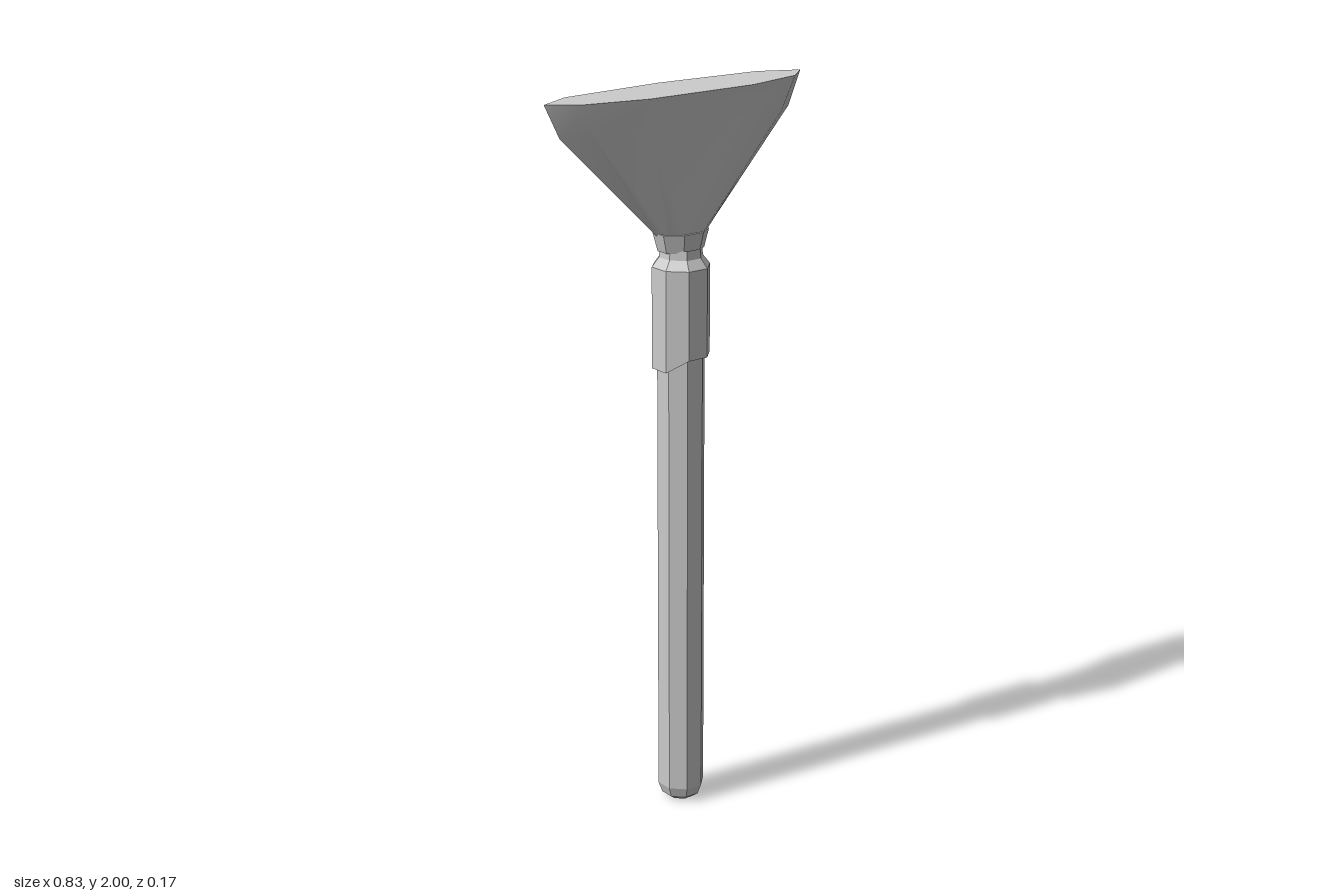
import * as THREE from 'three';
import { toCreasedNormals } from 'three/addons/utils/BufferGeometryUtils.js';

const SIDES = 8;
const faceted = new THREE.MeshStandardMaterial({ color: 0xcccccc, flatShading: true });
const smooth = new THREE.MeshStandardMaterial({ color: 0xcccccc });

// Octagonal turned part with a flat facing front; profile = [half width, y] upwards
function turned(name, profile) {
  const k = 1 / Math.cos(Math.PI / SIDES);
  const points = profile.map(([r, y]) => new THREE.Vector2(r * k, y));
  const mesh = new THREE.Mesh(new THREE.LatheGeometry(points, SIDES, Math.PI / SIDES), faceted);
  mesh.name = name;
  return mesh;
}

// Outline of the fan's flat top: [x, z]
const OUTLINE = [
  [-0.415, -0.013], [-0.335, 0.046], [-0.16, 0.083], [0.17, 0.083], [0.345, 0.043],
  [0.413, -0.016], [0.305, -0.068], [-0.005, -0.088], [-0.315, -0.066],
];

// Flared head lofted through scaled copies of the outline, closed at both ends
function fanGeometry() {
  const rings = [
    { y: 1.62, sx: 0.175, sz: 0.58 },
    { y: 1.91, sx: 0.895, sz: 0.76 },
    { y: 2.0, sx: 1, sz: 1 },
  ];
  const n = OUTLINE.length;
  const positions = [];
  const index = [];
  for (const { y, sx, sz } of rings) {
    for (const [x, z] of OUTLINE) positions.push(x * sx, y, z * sz);
  }
  for (let r = 0; r < rings.length - 1; r++) {
    for (let i = 0; i < n; i++) {
      const a = r * n + i;
      const b = r * n + ((i + 1) % n);
      index.push(a, b, b + n, a, b + n, a + n);
    }
  }
  const top = (rings.length - 1) * n;
  for (let i = 1; i < n - 1; i++) {
    index.push(top, top + i, top + i + 1);
    index.push(0, i + 1, i);
  }
  const geometry = new THREE.BufferGeometry();
  geometry.setAttribute('position', new THREE.Float32BufferAttribute(positions, 3));
  geometry.setIndex(index);
  return toCreasedNormals(geometry, 0.8);
}

export function createModel() {
  const model = new THREE.Group();
  model.name = 'fanBrush';

  // Long handle with a rounded foot
  model.add(turned('handle', [
    [0, 0], [0.035, 0.003], [0.05, 0.015], [0.06, 0.045], [0.06, 1.32],
  ]));

  // Sleeve with a shoulder and narrow neck; its lower rim dips on the right
  const sleeve = turned('sleeve', [
    [0.055, 1.295], [0.073, 1.295], [0.073, 1.535], [0.055, 1.56], [0.053, 1.585],
  ]);
  const p = sleeve.geometry.attributes.position;
  for (let i = 0; i < p.count; i++) {
    if (p.getY(i) < 1.3 && p.getX(i) < -0.05) p.setY(i, 1.26);
  }
  model.add(sleeve);

  // Flattened collar gripping the head
  const collar = turned('collar', [
    [0, 1.578], [0.062, 1.578], [0.075, 1.628], [0, 1.628],
  ]);
  collar.scale.z = 0.74;
  model.add(collar);

  // Flared head
  const fan = new THREE.Mesh(fanGeometry(), smooth);
  fan.name = 'fanHead';
  model.add(fan);

  return model;
}
